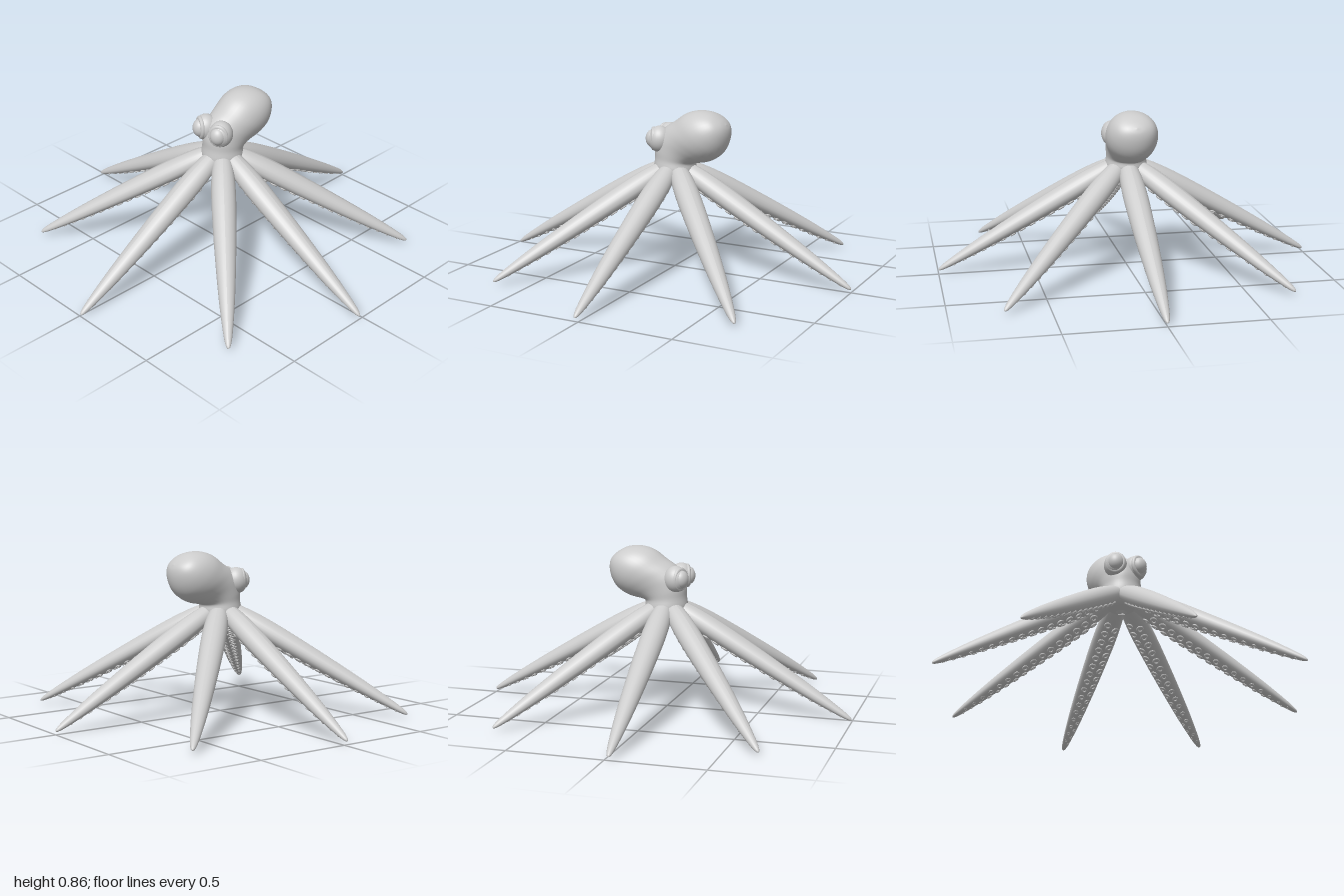
import * as THREE from 'three';
import { mergeGeometries } from 'three/addons/utils/BufferGeometryUtils.js';

const material = new THREE.MeshStandardMaterial({ color: 0xcccccc, side: THREE.DoubleSide });

function addMesh(parent, name, geometry) {
  const mesh = new THREE.Mesh(geometry, material);
  mesh.name = name;
  parent.add(mesh);
  return mesh;
}

// Smooth loft from neck to mantle; stations: front/top z,y, back/bottom z,y, half width
function bodyGeometry() {
  const stations = [
    [0.03, 0.47, -0.03, 0.47, 0.03],
    [0.085, 0.50, -0.085, 0.50, 0.085],
    [0.11, 0.55, -0.115, 0.55, 0.11],
    [0.105, 0.61, -0.115, 0.585, 0.105],
    [0.105, 0.665, -0.13, 0.592, 0.107],
    [0.085, 0.735, -0.165, 0.597, 0.112],
    [0.045, 0.773, -0.205, 0.607, 0.12],
    [-0.01, 0.808, -0.24, 0.625, 0.13],
    [-0.07, 0.85, -0.272, 0.65, 0.133],
    [-0.14, 0.87, -0.297, 0.69, 0.122],
    [-0.215, 0.864, -0.31, 0.74, 0.094],
    [-0.27, 0.835, -0.309, 0.78, 0.05],
    [-0.298, 0.808, -0.298, 0.808, 0],
  ];
  const tops = new THREE.CatmullRomCurve3(stations.map(s => new THREE.Vector3(s[4], s[1], s[0])));
  const bottoms = new THREE.CatmullRomCurve3(stations.map(s => new THREE.Vector3(0, s[3], s[2])));
  const rows = 48, sides = 40, positions = [], indices = [];
  for (let i = 0; i <= rows; i++) {
    const a = tops.getPoint(i / rows), b = bottoms.getPoint(i / rows);
    for (let j = 0; j < sides; j++) {
      const angle = (j / sides) * Math.PI * 2, k = (1 + Math.cos(angle)) / 2;
      positions.push(a.x * Math.sin(angle), b.y + (a.y - b.y) * k, b.z + (a.z - b.z) * k);
      if (i === rows) continue;
      const p = i * sides + j, q = i * sides + (j + 1) % sides;
      indices.push(p, q, p + sides, q, q + sides, p + sides);
    }
  }
  const geometry = new THREE.BufferGeometry();
  geometry.setAttribute('position', new THREE.Float32BufferAttribute(positions, 3));
  geometry.setIndex(indices);
  geometry.computeVertexNormals();
  return geometry;
}

// Arm thickness along its length
const armProfile = new THREE.SplineCurve([
  [0.04, 0], [0.058, 0.1], [0.064, 0.25], [0.056, 0.5], [0.041, 0.75],
  [0.024, 0.92], [0.012, 0.985], [0, 1],
].map(p => new THREE.Vector2(...p)));

function radiusAt(t) {
  let lo = 0, hi = 1;
  for (let i = 0; i < 20; i++) {
    const mid = (lo + hi) / 2;
    if (armProfile.getPoint(mid).y < t) lo = mid; else hi = mid;
  }
  return armProfile.getPoint(lo).x;
}

function buildArm(name, start, tip) {
  const arm = new THREE.Group();
  arm.name = name;
  const along = tip.clone().sub(start), length = along.length();
  along.normalize();
  const side = along.clone().cross(new THREE.Vector3(0, 1, 0)).normalize();
  const up = side.clone().cross(along);
  arm.applyMatrix4(new THREE.Matrix4().makeBasis(side, along, up).setPosition(start));

  // Tapered limb with a flatter underside
  const profile = armProfile.getPoints(28).map(p => new THREE.Vector2(Math.max(p.x, 0), p.y * length));
  const limb = new THREE.LatheGeometry(profile, 24);
  const pos = limb.attributes.position;
  for (let i = 0; i < pos.count; i++) {
    const z = pos.getZ(i);
    pos.setZ(i, z * (z > 0 ? 0.92 : 0.75));
  }
  limb.computeVertexNormals();
  addMesh(arm, 'limb', limb);

  // Two staggered rows of suckers, shrinking towards the tip
  const rings = [];
  for (const row of [-1, 1]) {
    for (let i = 0; i < 16; i++) {
      const t = 0.14 + (i + (row > 0 ? 0.5 : 0)) * 0.052;
      const r = radiusAt(t);
      const ring = new THREE.TorusGeometry(r * 0.25, r * 0.09, 6, 12);
      ring.rotateY(-row * 0.35);
      ring.translate(row * r * 0.4, t * length, -r * 0.71);
      rings.push(ring);
    }
  }
  addMesh(arm, 'suckers', mergeGeometries(rings));
  return arm;
}

export function createModel() {
  const model = new THREE.Group();
  model.name = 'octopus';
  addMesh(model, 'headAndMantle', bodyGeometry());

  // Eyes set in raised sockets
  for (const s of [-1, 1]) {
    const sideName = s > 0 ? 'left' : 'right';
    const socket = addMesh(model, sideName + 'EyeSocket', new THREE.SphereGeometry(1, 28, 20));
    socket.scale.set(0.062, 0.07, 0.062);
    socket.position.set(s * 0.056, 0.71, 0.062);
    const lid = addMesh(model, sideName + 'Eyelid', new THREE.TorusGeometry(0.043, 0.012, 10, 28));
    lid.scale.y = 1.15;
    lid.rotation.y = s * 0.45;
    lid.position.set(s * 0.067, 0.712, 0.092);
    const eye = addMesh(model, sideName + 'Eye', new THREE.SphereGeometry(1, 28, 20));
    eye.scale.set(0.042, 0.048, 0.038);
    eye.rotation.y = s * 0.45;
    eye.position.set(s * 0.067, 0.712, 0.096);
  }

  // Eight arms spread evenly around the body
  const tips = {
    frontArm: [0, 0.01, 0.995], backArm: [0, 0.025, -1],
    leftArm: [1, 0.025, 0.02], rightArm: [-1, 0.025, 0.02],
    frontLeftArm: [0.73, 0.027, 0.675], frontRightArm: [-0.73, 0.027, 0.675],
    backLeftArm: [0.73, 0.027, -0.69], backRightArm: [-0.73, 0.027, -0.69],
  };
  for (const [name, p] of Object.entries(tips)) {
    const tip = new THREE.Vector3(...p);
    const start = new THREE.Vector3(tip.x, 0, tip.z).setLength(0.035).setY(0.565);
    model.add(buildArm(name, start, tip));
  }
  return model;
}
